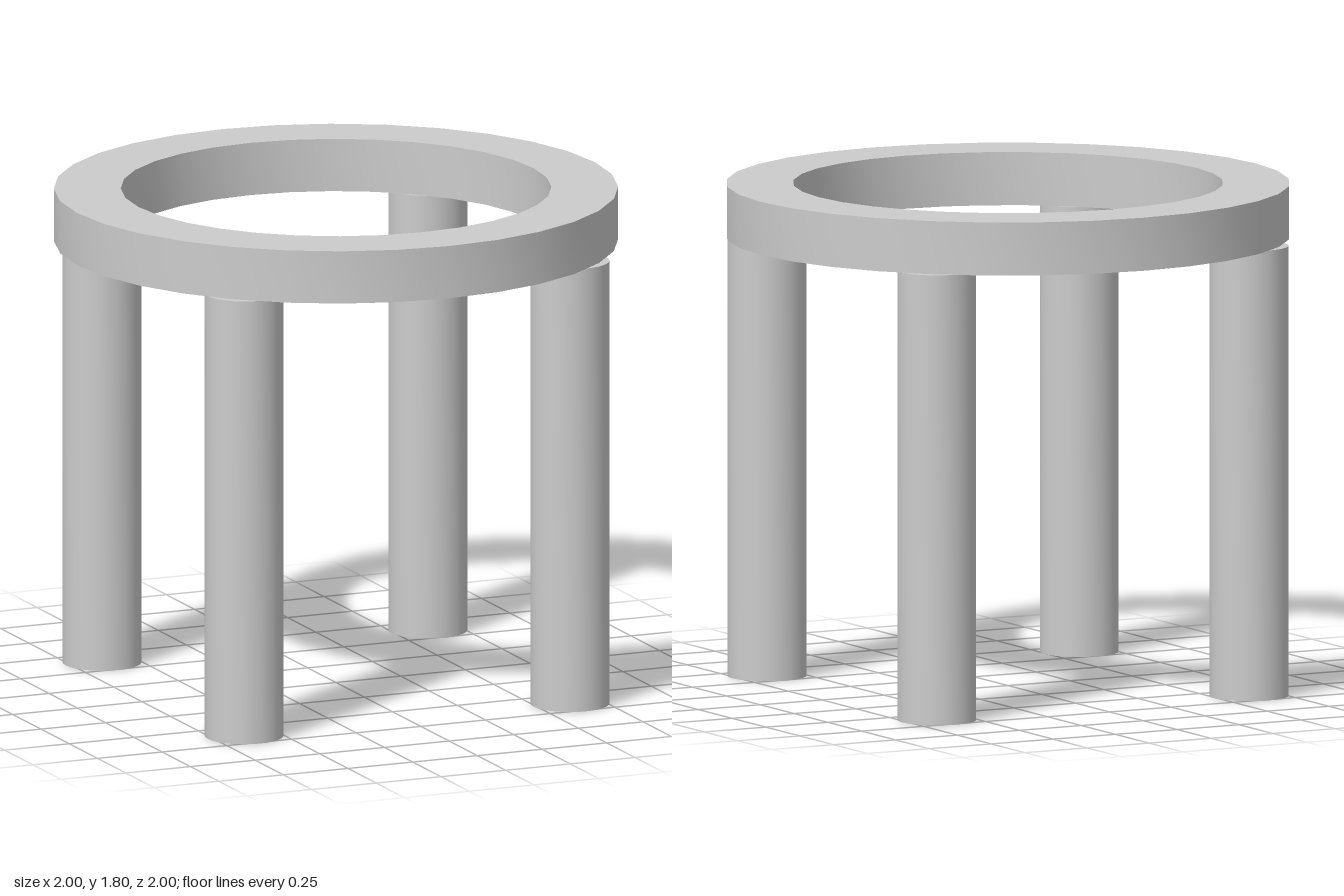
import * as THREE from 'three';
import { toCreasedNormals } from 'three/addons/utils/BufferGeometryUtils.js';

const LEG_HEIGHT = 1.61;
const TOP = 1.8;

// Revolve a [radius, height] profile, keeping its corners sharp
function turned(profile) {
  const points = profile.map(([r, y]) => new THREE.Vector2(r, y));
  return toCreasedNormals(new THREE.LatheGeometry(points, 32), 0.6);
}

export function createModel() {
  const model = new THREE.Group();

  // Flat ring resting on the legs
  const ring = new THREE.Mesh(
    turned([[0.763, LEG_HEIGHT], [1, LEG_HEIGHT], [1, TOP], [0.763, TOP], [0.763, LEG_HEIGHT]]),
    new THREE.MeshStandardMaterial({ color: 0xcccccc })
  );
  ring.name = 'ringTop';
  model.add(ring);

  // Four round legs, closed at the top and open at the foot
  const legGeometry = turned([[0.14, 0], [0.14, LEG_HEIGHT], [0, LEG_HEIGHT]]);
  const legMaterial = new THREE.MeshStandardMaterial({ color: 0xcccccc, side: THREE.DoubleSide });
  for (const [front, z] of [['front', 0.628], ['back', -0.628]]) {
    for (const [side, x] of [['Left', 0.63], ['Right', -0.63]]) {
      const leg = new THREE.Mesh(legGeometry, legMaterial);
      leg.name = `${front}${side}Leg`;
      leg.position.set(x, 0, z);
      model.add(leg);
    }
  }
  return model;
}
